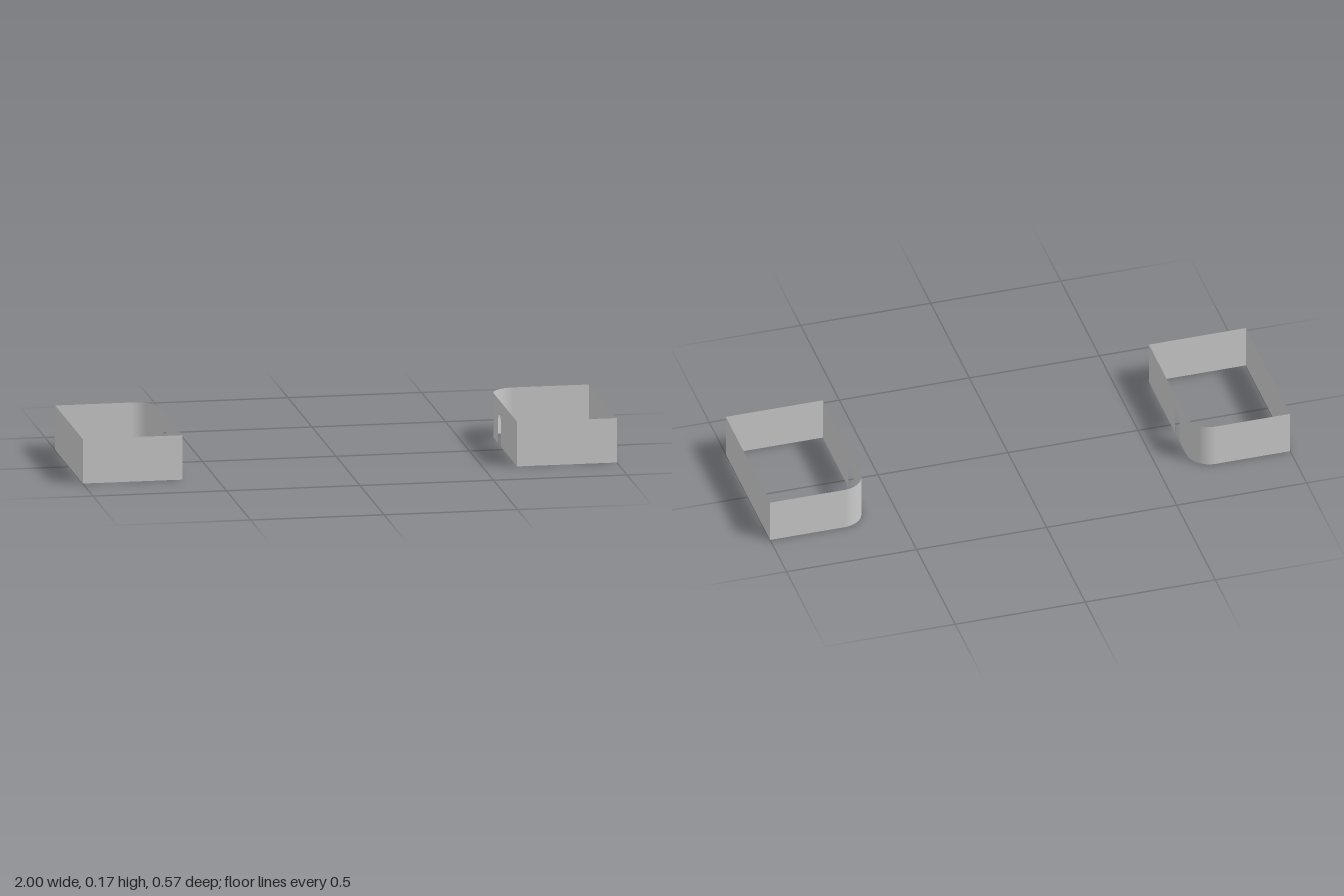
import * as THREE from 'three';

const X0 = 0.627, X1 = 1;      // inner and outer wall
const Z = 0.287, H = 0.168;    // half depth, wall height
const R = 0.087;               // rounded corner radius
const DOOR = { z: -0.08, half: 0.031, spring: 0.081 };

const material = new THREE.MeshStandardMaterial({ color: 0xcccccc, side: THREE.DoubleSide });

function add(group, name, geometry) {
  const mesh = new THREE.Mesh(geometry, material);
  mesh.name = name;
  group.add(mesh);
  return mesh;
}

// Straight, thin wall centred on (x, z) and turned about y
function wall(group, name, length, x, z, turn) {
  const mesh = add(group, name, new THREE.PlaneGeometry(length, H));
  mesh.position.set(x, H / 2, z);
  mesh.rotation.y = turn;
}

function createEnclosure(name) {
  const group = new THREE.Group();
  group.name = name;

  wall(group, 'frontWall', X1 - X0, (X0 + X1) / 2, Z, 0);
  wall(group, 'outerWall', 2 * Z, X1, 0, Math.PI / 2);
  wall(group, 'backWall', X1 - X0 - R, (X0 + R + X1) / 2, -Z, Math.PI);

  // Inner wall, cut by an arched doorway open to the ground
  const { z, half, spring } = DOOR;
  const shape = new THREE.Shape();
  shape.moveTo(-Z + R, 0);
  shape.lineTo(z - half, 0);
  shape.lineTo(z - half, spring);
  shape.absarc(z, spring, half, Math.PI, 0, true);
  shape.lineTo(z + half, 0);
  shape.lineTo(Z, 0);
  shape.lineTo(Z, H);
  shape.lineTo(-Z + R, H);
  shape.closePath();
  const doorWall = add(group, 'doorWall', new THREE.ShapeGeometry(shape, 16));
  doorWall.rotation.y = -Math.PI / 2;
  doorWall.position.x = X0;

  // Rounded inner back corner
  const corner = add(group, 'roundedCorner',
    new THREE.CylinderGeometry(R, R, H, 16, 1, true, Math.PI, Math.PI / 2));
  corner.position.set(X0 + R, H / 2, -Z + R);

  return group;
}

export function createModel() {
  const model = new THREE.Group();
  model.name = 'walledEnclosures';
  const left = createEnclosure('leftEnclosure');
  const right = createEnclosure('rightEnclosure');
  right.scale.x = -1;
  model.add(left, right);
  return model;
}
